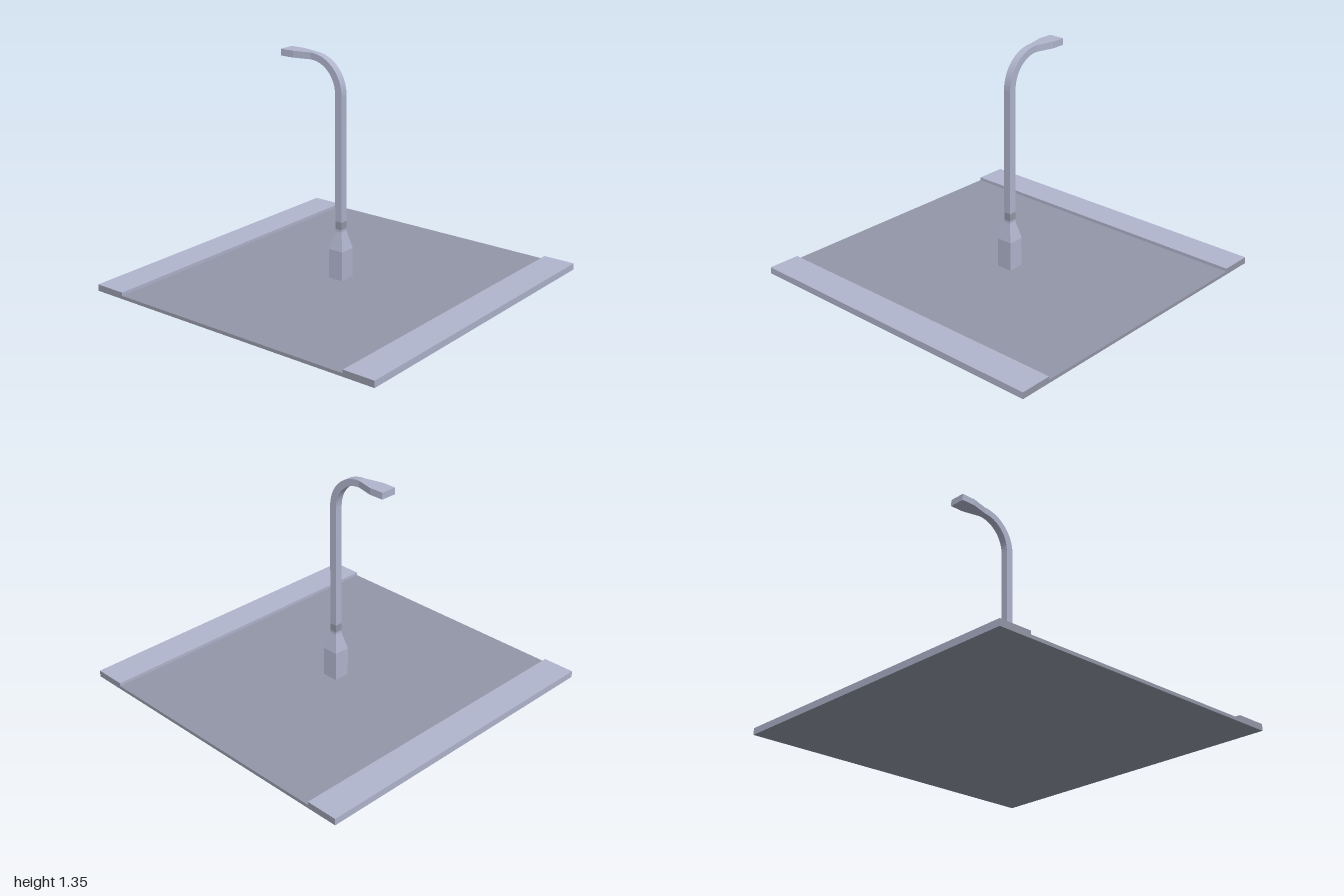
import * as THREE from 'three';

// Rings are [outerY, outerZ, innerY, innerZ, halfWidth] along the lamp post.
// Each of the four sides has its own vertices, so only the lengthwise bend is smooth.
function loft(rings, capped = false) {
  const pos = [], idx = [];
  const corners = ([oy, oz, iy, iz, w]) => [[w, oy, oz], [-w, oy, oz], [-w, iy, iz], [w, iy, iz]];
  for (let s = 0; s < 4; s++) {
    const base = pos.length / 3;
    rings.forEach((r) => {
      const c = corners(r);
      pos.push(...c[s], ...c[(s + 1) % 4]);
    });
    for (let i = 0; i < rings.length - 1; i++) {
      const a = base + i * 2, b = a + 1;
      idx.push(b, a, a + 2, b, a + 2, b + 2);
    }
  }
  if (capped) {
    const n = pos.length / 3;
    corners(rings[rings.length - 1]).forEach((c) => pos.push(...c));
    idx.push(n, n + 2, n + 1, n, n + 3, n + 2);
  }
  const g = new THREE.BufferGeometry();
  g.setAttribute('position', new THREE.Float32BufferAttribute(pos, 3));
  g.setIndex(idx);
  g.computeVertexNormals();
  return g;
}

export function createModel() {
  const asphalt = new THREE.MeshStandardMaterial({ color: 0x9396a7 });
  asphalt.name = 'asphalt';
  const concrete = new THREE.MeshStandardMaterial({ color: 0xb0b5cd });
  concrete.name = 'paleConcrete';

  const model = new THREE.Group();
  model.name = 'roadTileWithLamp';
  const add = (parent, name, geometry, material) => {
    const mesh = new THREE.Mesh(geometry, material);
    mesh.name = name;
    parent.add(mesh);
    return mesh;
  };

  // Road surface
  add(model, 'road', new THREE.BoxGeometry(2, 0.02, 1.6), asphalt).position.y = 0.01;

  // Raised pavements with asphalt-coloured ends and underside
  for (const side of [1, -1]) {
    const pavement = add(model, side > 0 ? 'frontPavement' : 'backPavement',
      new THREE.BoxGeometry(2, 0.04, 0.2),
      [asphalt, asphalt, concrete, asphalt, concrete, concrete]);
    pavement.position.set(0, 0.02, side * 0.9);
  }

  const lamp = new THREE.Group();
  lamp.name = 'streetLamp';
  model.add(lamp);
  const r = 0.023;
  const level = (y, h) => [y, h, y, -h, h];

  // Upright: footing, taper, dark collar and shaft
  add(lamp, 'footing', loft([level(0.02, 0.05), level(0.2, 0.05)]), concrete);
  add(lamp, 'footingTaper', loft([level(0.2, 0.05), level(0.31, r)]), concrete);
  add(lamp, 'lowerShaft', loft([level(0.31, r), level(0.325, r)]), concrete);
  add(lamp, 'collar', loft([level(0.325, r), level(0.37, r)]), asphalt);
  add(lamp, 'shaft', loft([level(0.37, r), level(1.13, r)]), concrete);

  // Quarter bend towards the back
  const bend = [];
  const steps = 12;
  for (let i = 0; i <= steps; i++) {
    const t = (i / steps) * Math.PI / 2;
    const s = Math.sin(t), c = Math.cos(t);
    bend.push([1.13 + 0.22 * s, -0.2 + 0.223 * c, 1.13 + 0.18 * s, -0.2 + 0.177 * c, r]);
  }
  add(lamp, 'bend', loft(bend), concrete);

  // Widening neck and lamp head
  const along = (z, w) => [1.35, z, 1.31, z, w];
  add(lamp, 'neck', loft([along(-0.2, r), along(-0.31, 0.05)]), concrete);
  add(lamp, 'lampHead', loft([along(-0.31, 0.05), along(-0.4, 0.05)], true), concrete);

  return model;
}
